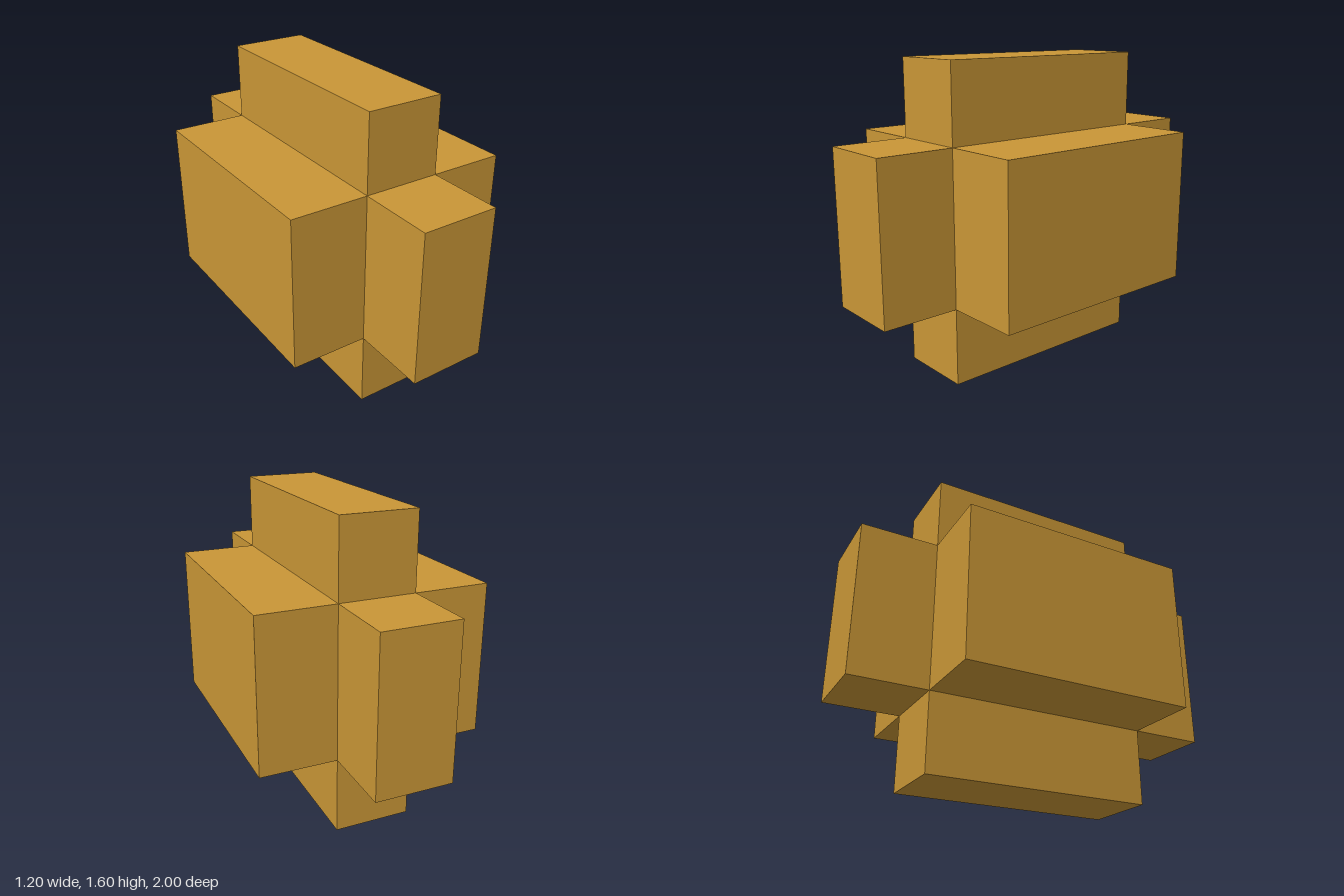
import * as THREE from 'three';

// Half sizes of the hidden core and the length of every arm
const CORE = new THREE.Vector3(0.2, 0.4, 0.6);
const ARM = 0.4;
const CENTRE_Y = 0.8;

// Box without one face (0..5 = +x, -x, +y, -y, +z, -z)
function openBox(size, openFace) {
  const geometry = new THREE.BoxGeometry(size.x, size.y, size.z);
  const index = Array.from(geometry.index.array);
  index.splice(openFace * 6, 6);
  geometry.setIndex(index);
  geometry.clearGroups();
  return geometry;
}

export function createModel() {
  const model = new THREE.Group();
  model.name = 'blockCross';
  const ochre = new THREE.MeshStandardMaterial({ color: 0xc99636 });
  ochre.name = 'ochre';

  // Six arms, one on each side of the core, open where they meet it
  const names = ['leftArm', 'rightArm', 'topArm', 'bottomArm', 'frontArm', 'backArm'];
  names.forEach((name, i) => {
    const axis = Math.floor(i / 2);
    const sign = i % 2 ? -1 : 1;
    const size = CORE.clone().multiplyScalar(2).setComponent(axis, ARM);
    const arm = new THREE.Mesh(openBox(size, i ^ 1), ochre);
    arm.name = name;
    arm.position.setComponent(axis, sign * (CORE.getComponent(axis) + ARM / 2));
    arm.position.y += CENTRE_Y;
    model.add(arm);
  });

  return model;
}
